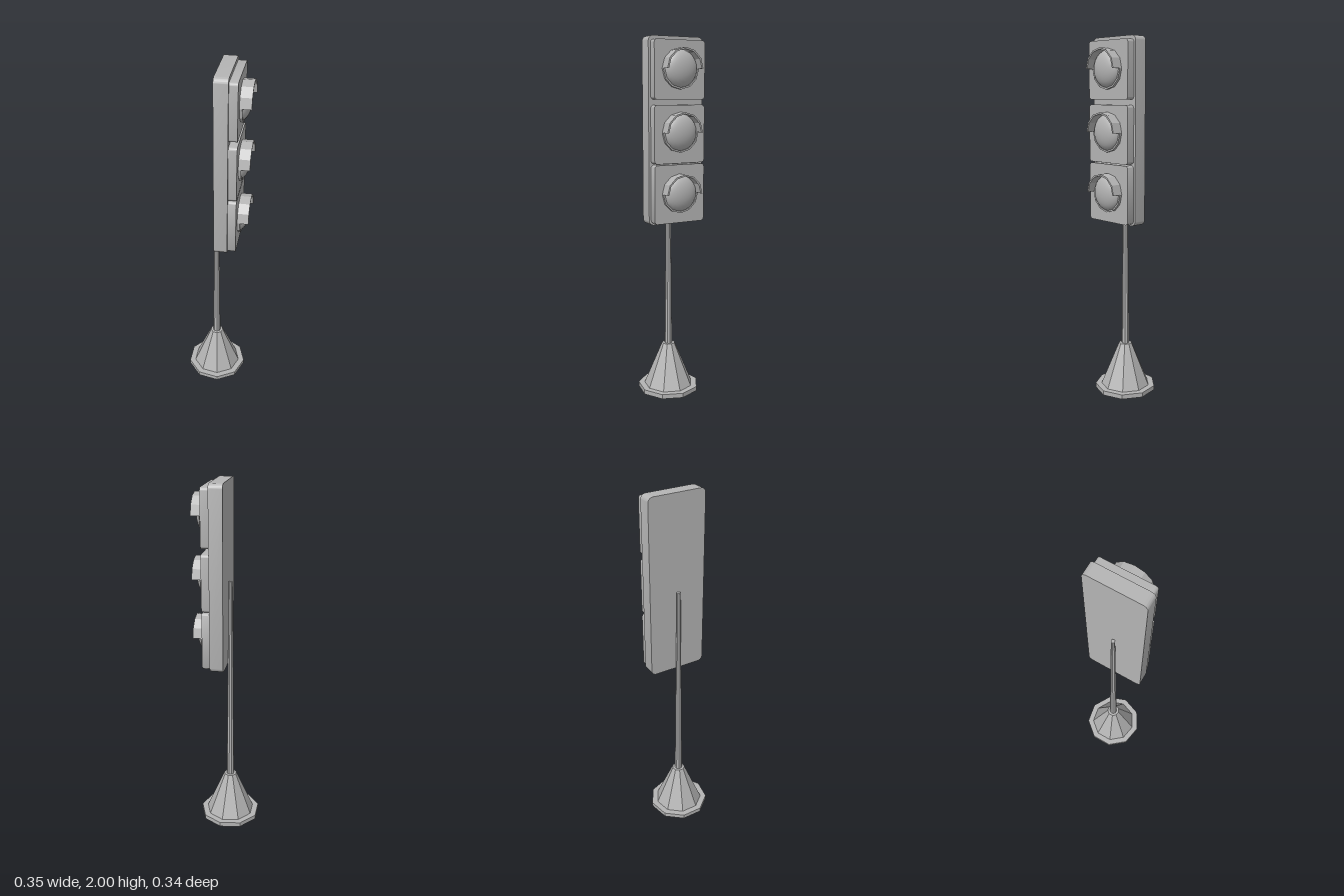
import * as THREE from 'three';
import { toCreasedNormals } from 'three/addons/utils/BufferGeometryUtils.js';

const AXIS_X = -0.012; // centre line of the stand

export function createModel() {
  const group = new THREE.Group();
  const grey = new THREE.MeshStandardMaterial({ color: 0xb4b4b4 });
  grey.name = 'grey';
  const facetedGrey = (geometry) => toCreasedNormals(geometry, 0.3);

  const add = (name, geometry, x, y, parent = group) => {
    const mesh = new THREE.Mesh(geometry, grey);
    mesh.name = name;
    mesh.position.set(x, y, 0);
    parent.add(mesh);
    return mesh;
  };

  // Nine-sided tapered column with a corner towards +x
  const column = (name, rTop, rBottom, y0, y1) => add(name,
    facetedGrey(new THREE.CylinderGeometry(rTop, rBottom, y1 - y0, 9, 1, false, Math.PI / 2)),
    AXIS_X, (y0 + y1) / 2);

  // Extrudes a shape so that its depth runs along +x
  const extrudeX = (shape, depth) => new THREE.ExtrudeGeometry(shape,
    { depth, bevelEnabled: false, curveSegments: 5 }).rotateY(Math.PI / 2);

  const roundedRect = (w, h, r) => {
    const s = new THREE.Shape();
    const a = w / 2, b = h / 2;
    s.moveTo(-a + r, -b);
    s.lineTo(a - r, -b);
    s.absarc(a - r, -b + r, r, -Math.PI / 2, 0);
    s.absarc(a - r, b - r, r, 0, Math.PI / 2);
    s.absarc(-a + r, b - r, r, Math.PI / 2, Math.PI);
    s.absarc(-a + r, -b + r, r, Math.PI, Math.PI * 1.5);
    return s;
  };
  const panelX = (w, h, r, depth) => toCreasedNormals(extrudeX(roundedRect(w, h, r), depth), 0.6);

  // Points on a twelve-sided circle, from step 'from' to step 'to'
  const arc = (r, from, to) => {
    const points = [];
    for (let i = from; i <= to; i++) {
      const t = (i * Math.PI) / 6;
      points.push(new THREE.Vector2(r * Math.cos(t), r * Math.sin(t)));
    }
    return points;
  };

  // Stand
  column('basePlate', 0.175, 0.175, 0, 0.026);
  column('baseCone', 0.037, 0.14, 0.026, 0.275);
  column('pole', 0.011, 0.022, 0.27, 1.47);

  // Backing panel
  add('backPanel', panelX(0.328, 1, 0.028, 0.073), 0, 1.5);

  // Lamp parts shared by the three signals
  const rimShape = new THREE.Shape(arc(0.107, 0, 11));
  rimShape.holes.push(new THREE.Path(arc(0.098, 0, 11).reverse()));
  const rimGeometry = extrudeX(rimShape, 0.014);
  const visorShape = new THREE.Shape([...arc(0.107, 0, 6), ...arc(0.098, 0, 6).reverse()]);
  const visorGeometry = extrudeX(visorShape, 0.06);
  const lensGeometry = new THREE.SphereGeometry(0.098, 24, 8, 0, Math.PI * 2, 0, Math.PI / 2)
    .rotateZ(-Math.PI / 2).scale(0.5, 1, 1);

  // Signals: box bottom, box top, lamp height
  [
    ['lower', 1.01, 1.328, 1.172],
    ['middle', 1.335, 1.645, 1.5],
    ['upper', 1.673, 1.98, 1.832],
  ].forEach(([label, bottom, top, lampY]) => {
    const signal = new THREE.Group();
    signal.name = label + 'Signal';
    group.add(signal);
    add('signalBox', panelX(0.304, top - bottom, 0.018, 0.046), 0.071, (bottom + top) / 2, signal);
    add('lens', lensGeometry, 0.117, lampY, signal);
    add('lensRim', rimGeometry, 0.117, lampY, signal);
    add('visor', visorGeometry, 0.117, lampY, signal);
  });

  return group;
}
